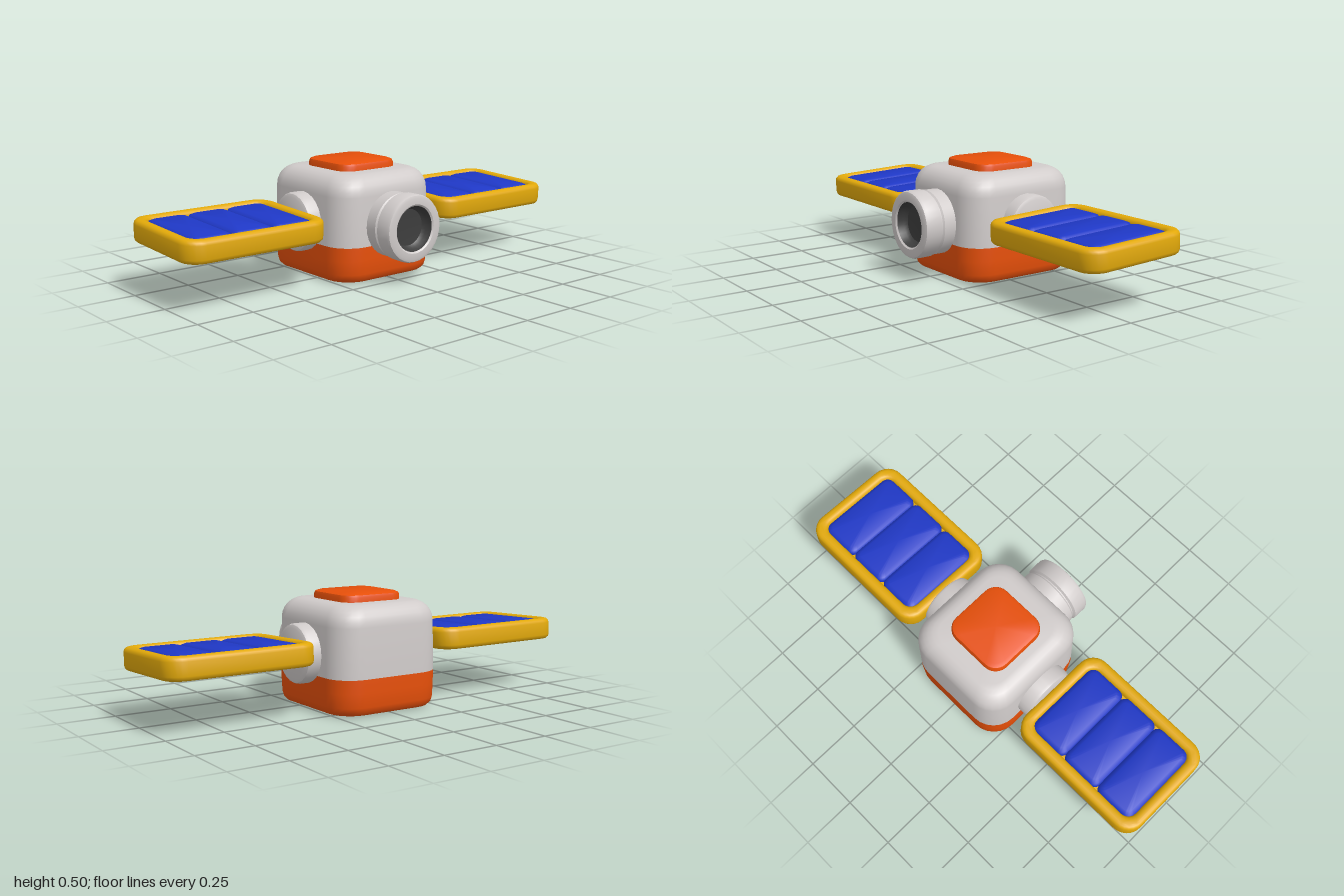
import * as THREE from 'three';
import { toCreasedNormals } from 'three/addons/utils/BufferGeometryUtils.js';

const mat = (name, color, side = THREE.FrontSide) => {
  const m = new THREE.MeshStandardMaterial({ color, side });
  m.name = name;
  return m;
};

// Outline of a rounded rectangle, counter-clockwise, as Vector2 points
function roundedRect(hw, hd, r, steps = 6) {
  const pts = [];
  for (let c = 0; c < 4; c++) {
    const sx = c === 0 || c === 3 ? 1 : -1, sy = c < 2 ? 1 : -1;
    for (let i = 0; i <= steps; i++) {
      const a = (c + i / steps) * Math.PI / 2;
      pts.push(new THREE.Vector2(sx * (hw - r) + r * Math.cos(a), sy * (hd - r) + r * Math.sin(a)));
    }
  }
  return pts;
}

// Stacks rounded rectangles; each ring is [y, inset]
function loft(hw, hd, r, rings, crease = 0.7) {
  const pos = [], idx = [];
  let n = 0;
  for (const [y, inset] of rings) {
    const pts = roundedRect(hw - inset, hd - inset, Math.max(r - inset * 0.6, 0.01));
    n = pts.length;
    for (const p of pts) pos.push(p.x, y, -p.y);
  }
  const last = rings.length - 1, bottom = rings.length * n, top = bottom + 1;
  pos.push(0, rings[0][0], 0, 0, rings[last][0], 0);
  for (let j = 0; j < n; j++) {
    const k = (j + 1) % n;
    for (let i = 0; i < last; i++) {
      const a = i * n + j, b = i * n + k;
      idx.push(a, b, b + n, a, b + n, a + n);
    }
    idx.push(bottom, k, j, top, last * n + j, last * n + k);
  }
  const g = new THREE.BufferGeometry();
  g.setAttribute('position', new THREE.Float32BufferAttribute(pos, 3));
  g.setIndex(idx);
  return toCreasedNormals(g, crease);
}

// Turned part from [radius, height] pairs
const turned = (pairs, sides = 32) =>
  toCreasedNormals(new THREE.LatheGeometry(pairs.map(p => new THREE.Vector2(...p)), sides), 0.7);

export function createModel() {
  const model = new THREE.Group();
  model.name = 'satellite';
  const grey = mat('shell grey', 0xd0cbca);
  const orange = mat('orange', 0xe8500a);
  const yellow = mat('frame yellow', 0xe2a90a);
  const blue = mat('cell blue', 0x1f38c6);
  const dark = mat('lens dark', 0x3d3d3d, THREE.DoubleSide);

  const add = (name, geometry, material, parent = model, x = 0, y = 0, z = 0) => {
    const m = new THREE.Mesh(geometry, material);
    m.name = name;
    m.position.set(x, y, z);
    parent.add(m);
    return m;
  };
  const midZ = -0.075;

  // Body: orange base, grey shell, orange hatch
  add('base', loft(0.268, 0.285, 0.12, [
    [0, 0.04], [0.005, 0.022], [0.018, 0.009], [0.04, 0.003], [0.1, 0], [0.16, 0]
  ]), orange, model, 0, 0, midZ);
  const shell = [[0.16, 0], [0.375, 0.003]];
  for (let i = 1; i <= 6; i++) {
    const a = i / 6 * Math.PI / 2;
    shell.push([0.375 + 0.09 * Math.sin(a), 0.003 + 0.08 * (1 - Math.cos(a))]);
  }
  add('shell', loft(0.268, 0.285, 0.12, shell), grey, model, 0, 0, midZ);
  add('topHatch', loft(0.153, 0.153, 0.065, [
    [0.455, 0], [0.484, 0.001], [0.494, 0.005], [0.5, 0.02]
  ]), orange, model, 0, 0, midZ);

  // Lens barrel on the front, with a recessed dark lens
  const camera = new THREE.Group();
  camera.name = 'camera';
  camera.position.set(0, 0.244, 0);
  camera.rotation.x = Math.PI / 2;
  model.add(camera);
  add('lensBarrel', turned([
    [0.142, 0.18], [0.142, 0.264], [0.136, 0.271], [0.136, 0.276], [0.147, 0.283],
    [0.148, 0.345], [0.143, 0.356], [0.132, 0.36], [0.106, 0.36], [0.099, 0.354]
  ]), grey, camera);
  add('lens', turned([[0.099, 0.354], [0.093, 0.325], [0.08, 0.312], [0, 0.306]]), dark, camera);

  // Open frame, cell and crossbar shared by both wings
  const shape = new THREE.Shape(roundedRect(0.337, 0.249, 0.08));
  shape.holes.push(new THREE.Path(roundedRect(0.286, 0.196, 0.045).reverse()));
  const bevel = 0.02, thickness = 0.097;
  let frame = new THREE.ExtrudeGeometry(shape, {
    depth: thickness - 2 * bevel, bevelSize: bevel, bevelThickness: bevel, bevelOffset: -bevel, bevelSegments: 3
  });
  frame.translate(0, 0, bevel - thickness / 2).rotateX(-Math.PI / 2);
  frame = toCreasedNormals(frame, 0.7);
  const cell = loft(0.097, 0.199, 0.036, [
    [-0.03, 0.022], [-0.024, 0.008], [-0.012, 0], [0.024, 0], [0.037, 0.007], [0.044, 0.022]
  ]);
  const crossbar = new THREE.BoxGeometry(0.06, 0.02, 0.4);
  const joint = turned([[0.13, 0.23], [0.13, 0.312], [0.125, 0.324], [0.112, 0.33], [0, 0.33]], 24);

  for (const side of [-1, 1]) {
    const label = side > 0 ? 'left' : 'right';
    add(label + 'Joint', joint, grey, model, 0, 0.246, midZ).rotation.z = -side * Math.PI / 2;
    // Solar wing, tipped slightly forward
    const wing = new THREE.Group();
    wing.name = label + 'Wing';
    wing.position.set(side * 0.663, 0.266, -0.047);
    wing.rotation.x = 0.042;
    model.add(wing);
    add(label + 'Frame', frame, yellow, wing);
    for (const x of [-0.191, 0, 0.191]) add(label + 'SolarCell', cell, blue, wing, x);
    for (const x of [-0.0955, 0.0955]) add(label + 'Crossbar', crossbar, yellow, wing, x);
  }
  return model;
}
